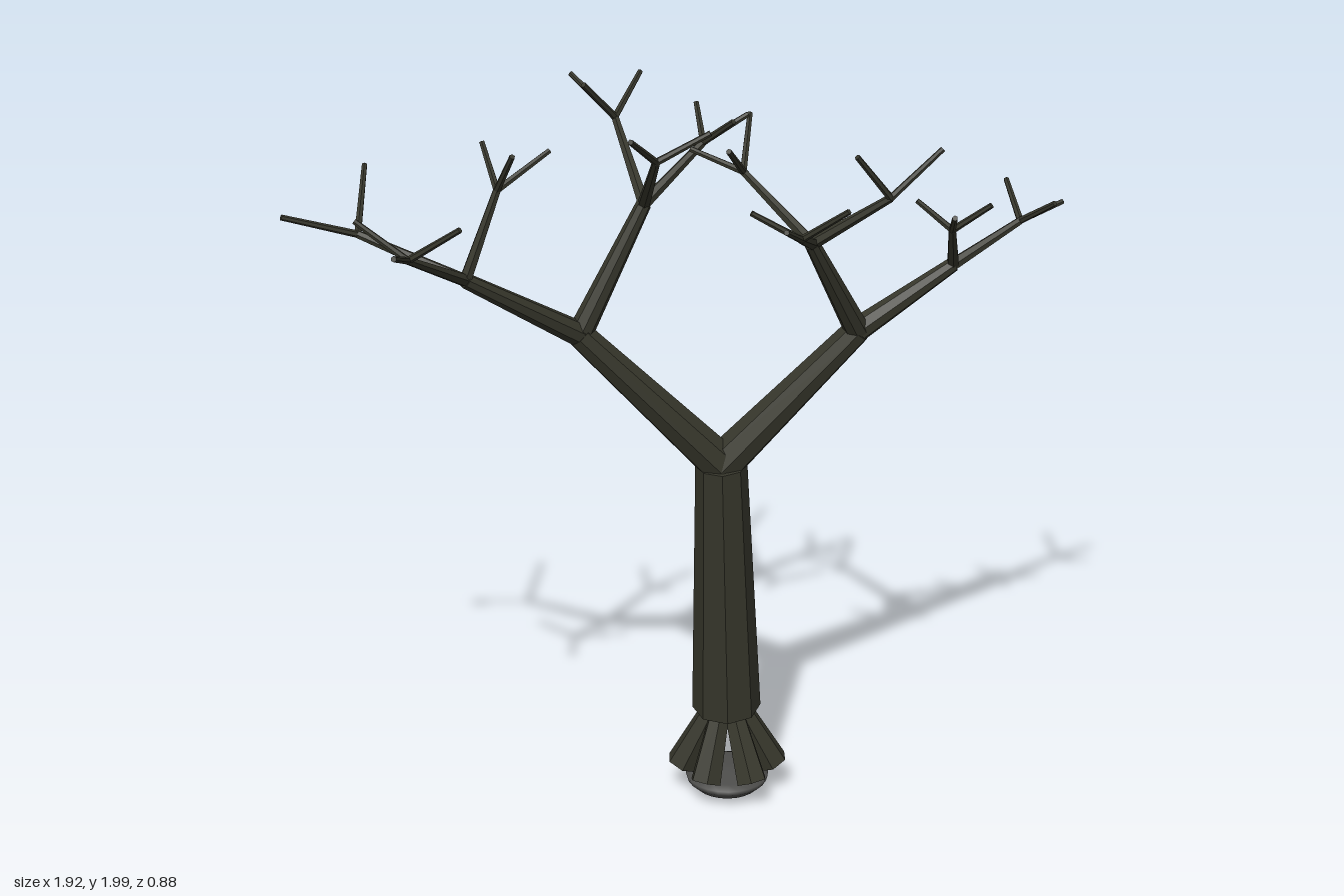
import * as THREE from 'three';

const bark = new THREE.MeshStandardMaterial({ color: 0x36362b });
bark.name = 'darkBark';
const stone = new THREE.MeshStandardMaterial({ color: 0x4e4e4c });
stone.name = 'greyStone';

const V = (p) => new THREE.Vector3(...p);

// Flat-sided tapered limb between two points
function limb(name, from, to, r0, r1, sides) {
  const a = V(from), b = V(to), dir = b.clone().sub(a);
  const smooth = new THREE.CylinderGeometry(r1, r0, dir.length(), sides);
  const geo = smooth.toNonIndexed();
  geo.computeVertexNormals();
  const mesh = new THREE.Mesh(geo, bark);
  mesh.name = name;
  mesh.position.copy(a).add(b).multiplyScalar(0.5);
  mesh.quaternion.setFromUnitVectors(new THREE.Vector3(0, 1, 0), dir.normalize());
  return mesh;
}

// Branch tree: each node has an end point and child nodes
const node = (p, ...kids) => ({ p, kids });
const crown = [
  node([-0.26, 1.38, -0.1],
    node([-0.53, 1.59, 0.065],
      node([-0.785, 1.69, 0.01],
        node([-0.96, 1.755, 0.065]), node([-0.773, 1.81, -0.147])),
      node([-0.653, 1.72, 0.265],
        node([-0.775, 1.81, 0.242]), node([-0.528, 1.815, 0.32]), node([-0.675, 1.79, 0.435])),
      node([-0.45, 1.81, 0.045],
        node([-0.325, 1.885, -0.02]), node([-0.41, 1.92, 0.12]), node([-0.485, 1.905, -0.03]))),
    node([-0.1, 1.7, -0.15],
      node([-0.167, 1.88, -0.276],
        node([-0.275, 1.96, -0.374]), node([-0.103, 1.955, -0.4]), node([-0.243, 1.99, -0.193])),
      node([-0.073, 1.875, 0.043],
        node([0.055, 1.945, 0.04]), node([-0.135, 1.97, 0.17])),
      node([0.045, 1.85, -0.17],
        node([0.155, 1.91, -0.2]), node([0.03, 1.93, -0.235]), node([0.115, 1.925, -0.1])))),
  node([0.43, 1.35, -0.18],
    node([0.672, 1.495, -0.25],
      node([0.845, 1.58, -0.327],
        node([0.957, 1.61, -0.38]), node([0.82, 1.65, -0.44]), node([0.918, 1.655, -0.245])),
      node([0.655, 1.625, -0.147],
        node([0.745, 1.7, -0.115]), node([0.568, 1.695, -0.167]), node([0.65, 1.69, -0.055]))),
    node([0.303, 1.64, -0.025],
      node([0.485, 1.775, 0.03],
        node([0.608, 1.89, 0.01]), node([0.398, 1.9, 0.09])),
      node([0.263, 1.73, 0.183],
        node([0.145, 1.8, 0.19]), node([0.37, 1.82, 0.24]), node([0.22, 1.8, 0.32])),
      node([0.14, 1.795, -0.11],
        node([0.1, 1.885, 0]), node([0.013, 1.84, -0.15]), node([0.16, 1.91, -0.21])))),
];

// Name, start radius, end radius and side count per branching level
const levels = [
  ['mainBranch', 0.054, 0.035, 8],
  ['branch', 0.032, 0.019, 8],
  ['smallBranch', 0.016, 0.01, 6],
  ['twig', 0.009, 0.007, 6],
];

function grow(group, from, { p, kids }, depth) {
  const [name, r0, r1, sides] = levels[depth];
  group.add(limb(name, from, p, r0, r1, sides));
  kids.forEach((k) => grow(group, p, k, depth + 1));
}

export function createModel() {
  const model = new THREE.Group();
  model.name = 'bareTree';

  // Trunk
  const base = [0.112, 0.26, -0.235], fork = [0.093, 0.99, -0.175];
  model.add(limb('trunk', base, fork, 0.09, 0.066, 8));

  // Crown
  const branches = new THREE.Group();
  branches.name = 'crown';
  crown.forEach((n) => grow(branches, fork, n, 0));
  model.add(branches);

  // Six splayed roots, thicker at the foot
  const roots = new THREE.Group();
  roots.name = 'roots';
  for (let i = 0; i < 6; i++) {
    const a = (i * Math.PI) / 3, c = Math.cos(a), s = Math.sin(a);
    roots.add(limb('root',
      [0.115 + 0.12 * c, 0.085, -0.24 + 0.12 * s],
      [0.112 + 0.03 * c, 0.27, -0.235 + 0.03 * s], 0.043, 0.026, 6));
  }
  model.add(roots);

  // Rounded stone under the roots
  const profile = [[0, 0], [0.05, 0.006], [0.085, 0.022], [0.106, 0.042], [0.11, 0.056], [0.09, 0.066], [0, 0.07]];
  const foot = new THREE.Mesh(
    new THREE.LatheGeometry(profile.map((p) => new THREE.Vector2(...p)), 24), stone);
  foot.name = 'footStone';
  foot.position.set(0.115, 0, -0.24);
  model.add(foot);

  return model;
}
